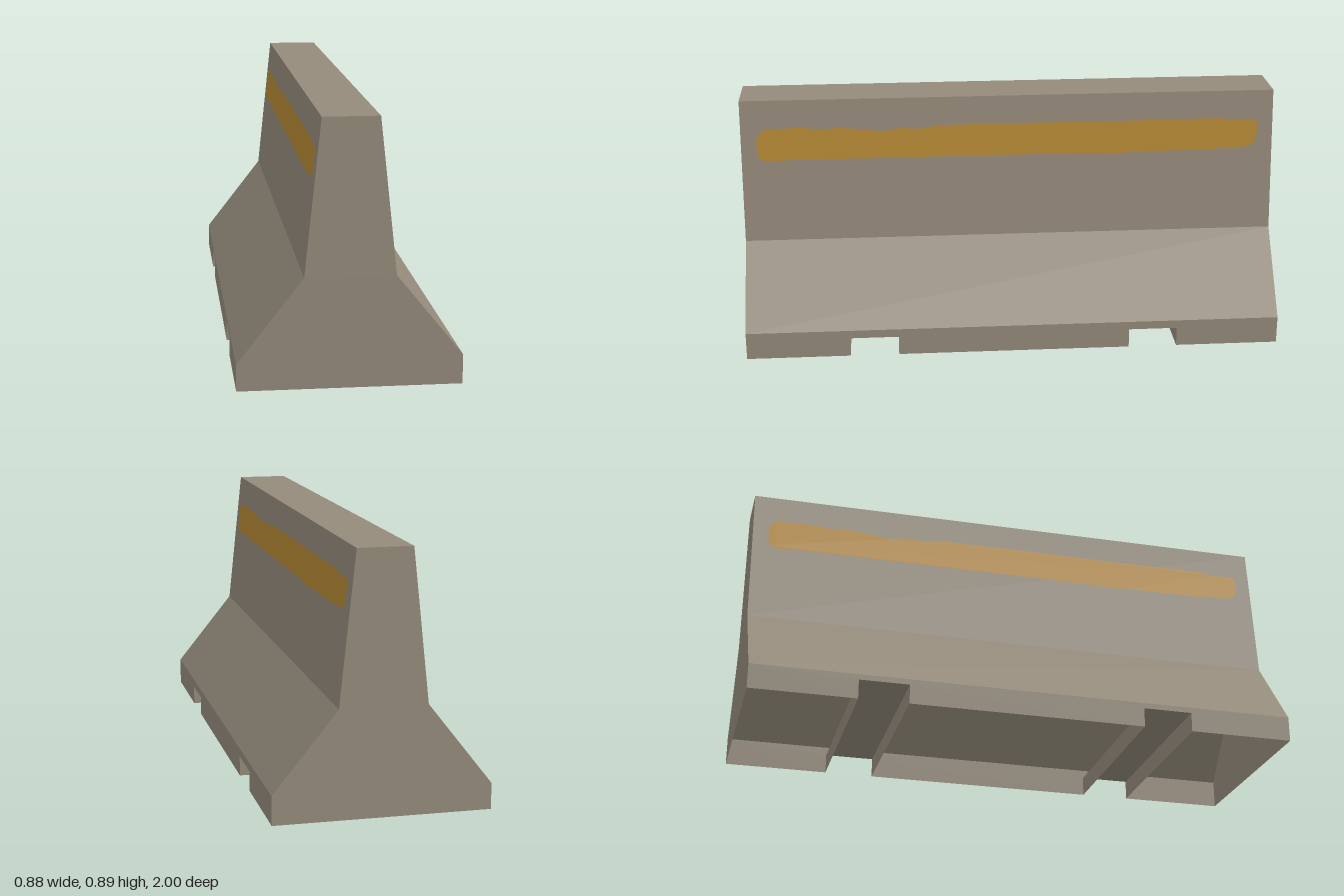
import * as THREE from 'three';

const HALF = 0.975;                     // half length of the barrier
const TILT = -0.0715;                   // slight turn about the vertical
const NOTCH = { inner: 0.423, outer: 0.6, height: 0.07 };
const KNEE = [0.15, 0.373], TOP = [0.094, 0.893], FOOT = 0.371;
const footHeight = side => (side > 0 ? 0.1 : 0.09);

const vec = list => list.map(([x, y]) => new THREE.Vector2(x, y));

// Open strip that sweeps a cross-section along z, with sharp folds
function sweep(points, z0, z1) {
  const pos = [];
  for (let i = 0; i < points.length - 1; i++) {
    const [ax, ay] = points[i], [bx, by] = points[i + 1];
    pos.push(ax, ay, z1, ax, ay, z0, bx, by, z0, ax, ay, z1, bx, by, z0, bx, by, z1);
  }
  const g = new THREE.BufferGeometry();
  g.setAttribute('position', new THREE.Float32BufferAttribute(pos, 3));
  g.computeVertexNormals();
  return g;
}

// Flat panel drawn as (z, y), stood up on one side with x given by a rule of y
function sidePanel(outline, xAt) {
  const flat = new THREE.ShapeGeometry(new THREE.Shape(vec(outline)));
  const g = flat.toNonIndexed();
  const p = g.attributes.position;
  for (let i = 0; i < p.count; i++) {
    const z = p.getX(i), y = p.getY(i);
    p.setXYZ(i, xAt(y), y, z);
  }
  g.computeVertexNormals();
  return g;
}

export function createModel() {
  const concrete = new THREE.MeshStandardMaterial({ color: 0x958b7b, side: THREE.DoubleSide });
  concrete.name = 'concrete';
  const amber = new THREE.MeshStandardMaterial({ color: 0xb68a35, side: THREE.DoubleSide });
  amber.name = 'amber paint';

  const group = new THREE.Group();
  group.name = 'roadBarrier';
  const barrier = new THREE.Group();
  barrier.name = 'barrier';
  barrier.rotation.y = TILT;
  group.add(barrier);
  const add = (name, geometry, material = concrete) => {
    const m = new THREE.Mesh(geometry, material);
    m.name = name;
    barrier.add(m);
    return m;
  };

  // Sloped sides and flat top
  const profile = [
    [FOOT, footHeight(1)], KNEE, TOP,
    [-TOP[0], TOP[1]], [-KNEE[0], KNEE[1]], [-FOOT, footHeight(-1)],
  ];
  add('slopedShell', sweep(profile, -HALF, HALF));

  // End walls
  const endOutline = vec([[FOOT, 0], ...profile, [-FOOT, 0]]);
  for (const end of [1, -1]) {
    const m = add(end > 0 ? 'frontEnd' : 'backEnd',
      new THREE.ShapeGeometry(new THREE.Shape(endOutline)));
    m.position.z = end * HALF;
  }

  // Foot walls with two notches each
  const { inner, outer, height } = NOTCH;
  for (const side of [1, -1]) {
    const h = footHeight(side);
    const outline = [
      [-HALF, 0], [-outer, 0], [-outer, height], [-inner, height], [-inner, 0],
      [inner, 0], [inner, height], [outer, height], [outer, 0], [HALF, 0],
      [HALF, h], [-HALF, h],
    ];
    add(side > 0 ? 'leftFoot' : 'rightFoot', sidePanel(outline, () => side * FOOT));
  }

  // Lifting channels running across the open underside
  for (const end of [1, -1]) {
    const section = [[-outer, 0], [-outer, height], [-inner, height], [-inner, 0]];
    const m = add('liftChannel', sweep(section.map(([a, y]) => [a * end, y]), -FOOT, FOOT));
    m.rotation.y = Math.PI / 2;
  }

  // Painted stripes with worn edges, lying just off the upper faces
  const stripe = [
    [0.91, 0.68], [0.88, 0.668], [0.8, 0.674], [0.5, 0.673], [0.1, 0.674], [-0.3, 0.673],
    [-0.4, 0.668], [-0.46, 0.674], [-0.74, 0.674], [-0.8, 0.682], [-0.88, 0.682], [-0.91, 0.7],
    [-0.92, 0.74], [-0.915, 0.785], [-0.84, 0.783], [-0.77, 0.792], [-0.4, 0.79], [0, 0.791],
    [0.25, 0.79], [0.33, 0.778], [0.4, 0.783], [0.46, 0.772], [0.55, 0.782], [0.62, 0.789],
    [0.68, 0.783], [0.76, 0.792], [0.89, 0.788], [0.918, 0.76], [0.918, 0.71],
  ];
  const slope = (TOP[0] - KNEE[0]) / (TOP[1] - KNEE[1]);
  for (const side of [1, -1]) {
    const xAt = y => side * (KNEE[0] + slope * (y - KNEE[1]) + 0.002);
    add(side > 0 ? 'leftStripe' : 'rightStripe',
      sidePanel(stripe.map(([z, y]) => [z * side, y]), xAt), amber);
  }

  return group;
}
